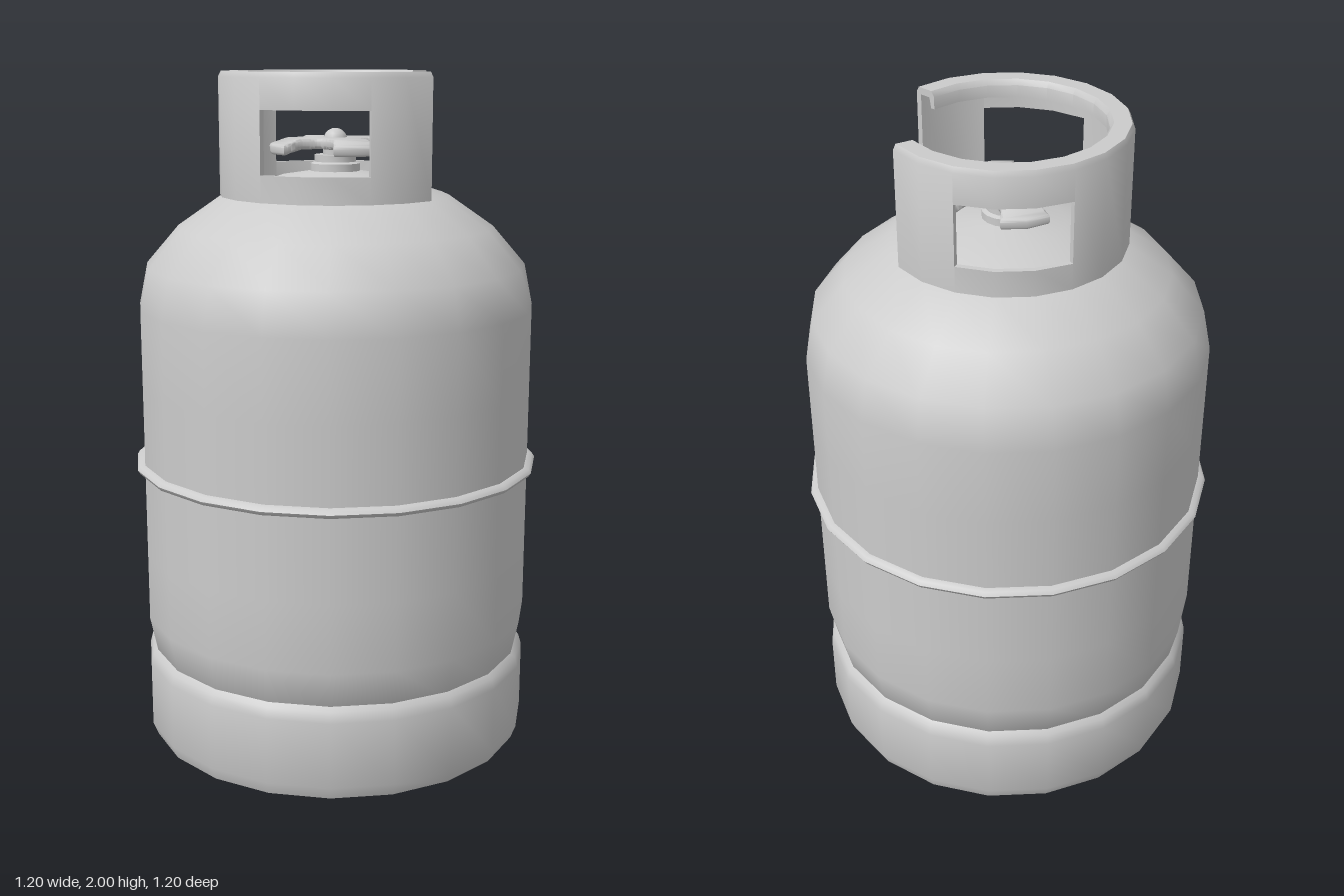
import * as THREE from 'three';
import { mergeGeometries, toCreasedNormals } from 'three/addons/utils/BufferGeometryUtils.js';

const SIDES = 20;
const STEP = (Math.PI * 2) / SIDES;
const vec = (list) => list.map(([x, y]) => new THREE.Vector2(x, y));

export function createModel() {
  const model = new THREE.Group();
  const material = new THREE.MeshStandardMaterial({ color: 0xcccccc });
  const add = (name, geometry, parent = model) => {
    const mesh = new THREE.Mesh(geometry, material);
    mesh.name = name;
    parent.add(mesh);
    return mesh;
  };
  const creased = (g, angle = 0.65) => toCreasedNormals(g, angle);
  const lathe = (list, sides = SIDES) => new THREE.LatheGeometry(vec(list), sides);

  // Tank: the same dome at both ends, mirrored about the middle
  const MID = 0.865;
  const dome = [[0, 0], [0.16, 0.025], [0.33, 0.08], [0.46, 0.17], [0.555, 0.28], [0.58, 0.4]];
  const upper = dome.map(([r, y]) => [r, 2 * MID - y]).reverse();
  add('tank', lathe([...dome, [0.58, 0.6], [0.58, 1.1], ...upper]));

  // Raised weld band round the middle
  add('weldBand', creased(lathe([
    [0.575, 0.848], [0.595, 0.852], [0.602, 0.863], [0.595, 0.874], [0.575, 0.878],
  ]), 0.9));

  // Foot ring, rolled inwards at the bottom
  add('footRing', creased(lathe([
    [0.47, 0.2], [0.47, 0.012], [0.545, 0.012], [0.565, 0.022], [0.58, 0.06],
    [0.58, 0.255], [0.572, 0.285], [0.555, 0.3], [0.52, 0.3],
  ])));

  // A closed profile swept over part of a turn, with both ends capped
  function sector(list, from, to) {
    const closed = [...list, list[0]];
    const parts = [new THREE.LatheGeometry(vec(closed), to - from, from * STEP, (to - from) * STEP)];
    [from, to].forEach((at, end) => {
      const cap = new THREE.ShapeGeometry(new THREE.Shape(vec(list)));
      if (end) cap.index.array.reverse();
      cap.rotateY(at * STEP - Math.PI / 2);
      parts.push(cap);
    });
    return mergeGeometries(parts);
  }

  // Collar: thin wall with a rolled lip, open on one side, with two hand holes
  const R = 0.336, T = 0.32;
  const lip = [[R, 1.985], [0.328, 2], [0.28, 2], [0.27, 1.985], [0.27, 1.95], [0.282, 1.95], [0.288, 1.98], [T, 1.98]];
  const fullWall = [[T, 1.65], [R, 1.65], ...lip];
  const aboveHole = [[T, 1.9], [R, 1.9], ...lip];
  const belowHole = [[T, 1.65], [R, 1.65], [R, 1.725], [T, 1.725]];
  const collar = [];
  for (const [from, to] of [[7, 9], [12, 18], [21, 23]]) collar.push(sector(fullWall, from, to));
  for (const [from, to] of [[9, 12], [18, 21]]) {
    collar.push(sector(aboveHole, from, to), sector(belowHole, from, to));
  }
  add('collar', creased(mergeGeometries(collar)));

  // Valve: stepped stem, four-armed hand wheel and a round cap
  const valve = new THREE.Group();
  valve.name = 'valve';
  model.add(valve);
  add('valveStem', creased(lathe([
    [0.072, 1.69], [0.072, 1.74], [0.06, 1.745], [0.06, 1.765], [0.035, 1.765], [0.035, 1.81],
  ], 16)), valve);

  const polar = (r, degrees) => {
    const a = THREE.MathUtils.degToRad(degrees);
    return new THREE.Vector2(r * Math.cos(a), r * Math.sin(a));
  };
  const outline = new THREE.Shape();
  for (let k = 0; k < 4; k++) {
    const a = 21 + k * 90;
    const corner = polar(0.182, a - 19);
    if (k === 0) outline.moveTo(corner.x, corner.y);
    for (const p of [polar(0.186, a), polar(0.182, a + 19)]) outline.lineTo(p.x, p.y);
    outline.splineThru([polar(0.125, a + 21), polar(0.082, a + 45), polar(0.125, a + 69), polar(0.182, a + 71)]);
  }
  const wheel = new THREE.ExtrudeGeometry(outline, {
    depth: 0.014, curveSegments: 14, bevelThickness: 0.008, bevelSize: 0.007, bevelSegments: 2,
  });
  wheel.rotateX(-Math.PI / 2);
  // Let the arm tips droop
  const pos = wheel.attributes.position;
  for (let i = 0; i < pos.count; i++) {
    const r = Math.hypot(pos.getX(i), pos.getZ(i));
    pos.setY(i, pos.getY(i) - 0.016 * THREE.MathUtils.smoothstep(r, 0.13, 0.19));
  }
  add('handWheel', creased(wheel, 0.9), valve).position.y = 1.792;
  add('wheelCap', new THREE.SphereGeometry(0.035, 14, 10), valve).position.y = 1.805;

  return model;
}
